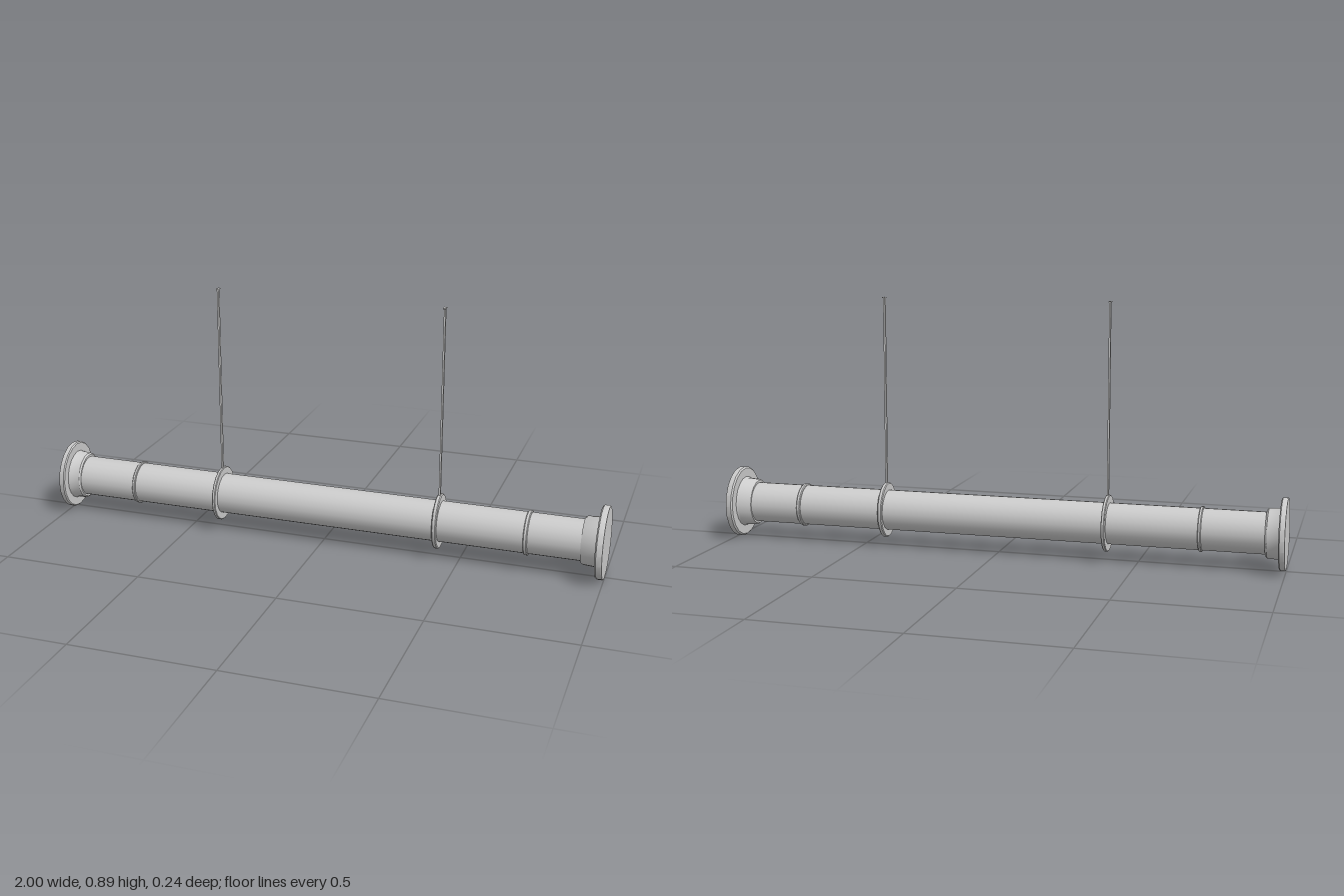
import * as THREE from 'three';
import { toCreasedNormals } from 'three/addons/utils/BufferGeometryUtils.js';

const AXIS_Y = 0.132;
const SIDES = 20;

export function createModel() {
  const model = new THREE.Group();
  const material = new THREE.MeshStandardMaterial({ color: 0xcccccc });

  const add = (name, geometry, x, y) => {
    const mesh = new THREE.Mesh(geometry, material);
    mesh.name = name;
    mesh.position.set(x, y, 0);
    model.add(mesh);
    return mesh;
  };

  // Turned part along the x axis; profile is [x, radius] pairs, depth squashes z
  const turned = (name, profile, x = 0, depth = 1) => {
    const points = profile.map(([px, r]) => new THREE.Vector2(r, px));
    const geometry = new THREE.LatheGeometry(points, SIDES);
    geometry.rotateZ(-Math.PI / 2);
    geometry.scale(1, 1, depth);
    return add(name, toCreasedNormals(geometry, 0.6), x, AXIS_Y);
  };

  // Flat-sided ring with a slightly bevelled rim
  const ring = (name, x, radius, width, depth) => {
    const h = width / 2, b = width * 0.2;
    turned(name, [[-h, 0.068], [-h, radius - b], [-h + b, radius],
      [h - b, radius], [h, radius - b], [h, 0.068]], x, depth);
  };

  // Main pipe
  turned('pipe', [[-0.98, 0], [-0.98, 0.072], [0.98, 0.072], [0.98, 0]]);

  // End caps: disc plus stepped collar
  turned('rightEndCap', [[-1, 0], [-1, 0.122], [-0.997, 0.124], [-0.983, 0.124], [-0.979, 0.12],
    [-0.979, 0.09], [-0.972, 0.087], [-0.938, 0.085], [-0.932, 0.08], [-0.932, 0.07]], 0, 0.93);
  turned('leftEndCap', [[0.922, 0.07], [0.922, 0.08], [0.928, 0.084], [0.968, 0.087], [0.975, 0.091],
    [0.975, 0.123], [0.98, 0.128], [0.997, 0.128], [1, 0.126], [1, 0]], 0, 0.95);

  // Narrow joint bands
  ring('rightBand', -0.715, 0.078, 0.011, 1);
  ring('leftBand', 0.735, 0.078, 0.014, 1);

  // Hanger clamps with rods and ceiling plates
  for (const [side, x, width, depth] of [['right', -0.39, 0.012, 0.96], ['left', 0.42, 0.016, 0.83]]) {
    ring(side + 'Clamp', x, 0.099, width, depth);
    add(side + 'Rod', new THREE.BoxGeometry(0.006, 0.69, 0.011), x, 0.55);
    add(side + 'RodPlate', new THREE.BoxGeometry(0.009, 0.004, 0.02), x, 0.895);
  }

  return model;
}
